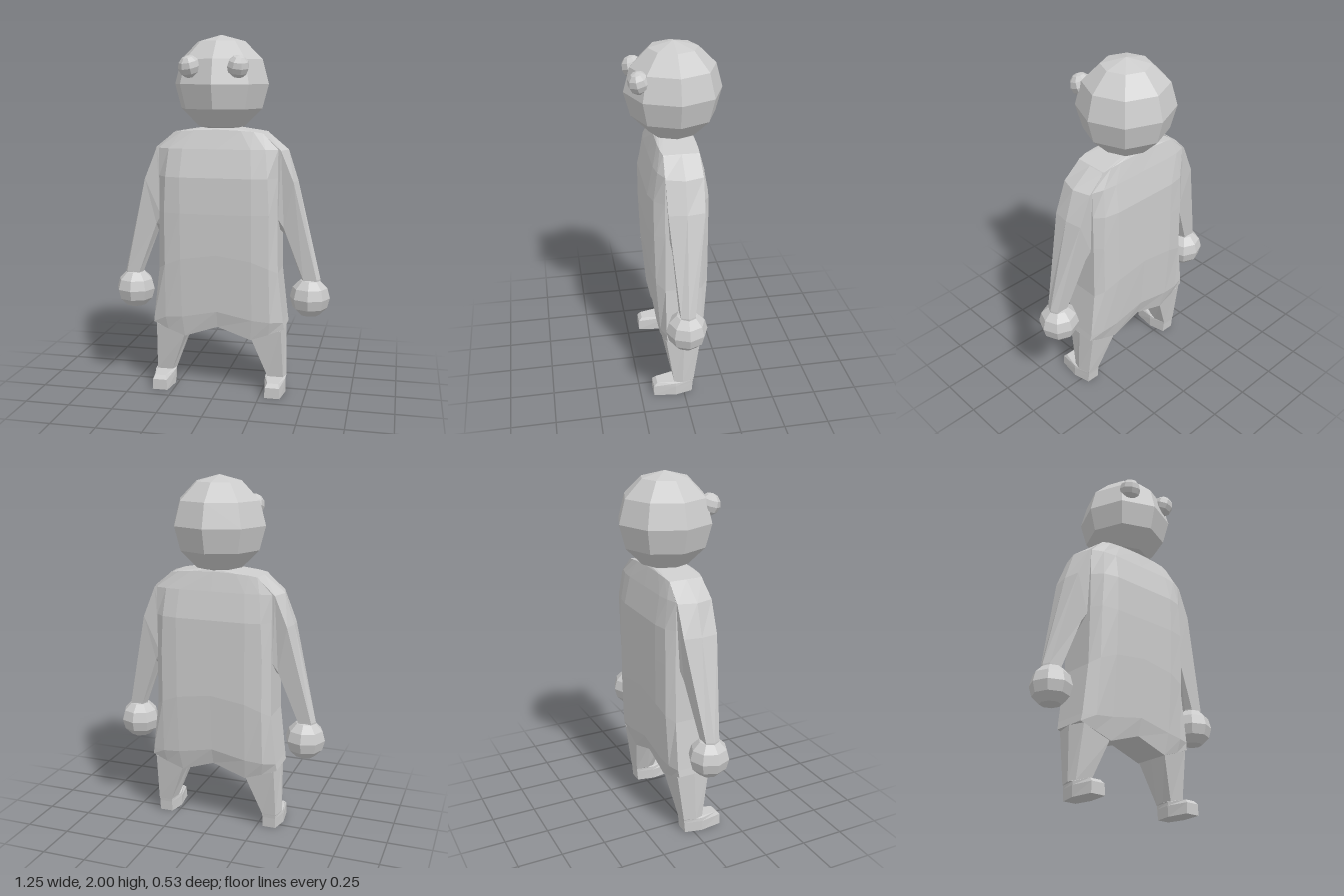
import * as THREE from 'three';

const material = new THREE.MeshStandardMaterial({ color: 0xcccccc, flatShading: true });

function addMesh(group, name, geometry) {
  const mesh = new THREE.Mesh(geometry, material);
  mesh.name = name;
  group.add(mesh);
  return mesh;
}

// Skin over rings stacked from bottom to top, each counter-clockwise seen from above.
function loft(rings) {
  const n = rings[0].length, h = n / 2, out = [];
  const quad = (a, b, c, d) => out.push(...a, ...b, ...c, ...a, ...c, ...d);
  for (let i = 0; i < rings.length - 1; i++) {
    const lo = rings[i], hi = rings[i + 1];
    for (let j = 0; j < n; j++) {
      const k = (j + 1) % n;
      quad(lo[j], lo[k], hi[k], hi[j]);
    }
  }
  // End caps as strips running across the ring
  const top = rings[rings.length - 1], bottom = rings[0];
  const at = (ring, j) => ring[(j + 2 * n) % n];
  const m = (h - 1) / 2;
  for (let j = -m; j < m; j++) {
    quad(at(top, j), at(top, j + 1), at(top, h - j - 1), at(top, h - j));
    quad(at(bottom, h - j), at(bottom, h - j - 1), at(bottom, j + 1), at(bottom, j));
  }
  const geometry = new THREE.BufferGeometry();
  geometry.setAttribute('position', new THREE.Float32BufferAttribute(out, 3));
  geometry.computeVertexNormals();
  return geometry;
}

const mirrored = rings => rings.map(r => r.map(([x, y, z]) => [-x, y, z]).reverse());

// Torso ring: three column positions, heights per column, front and back depth, side depth
function torsoRing([x1, x2, X], ys, zf, zb, zs) {
  const ease = z => z * 0.72 + Math.sign(z) * zs * 0.28;
  const front = [[x1, ys[1], zf], [x2, ys[2], ease(zf)], [X, ys[3], zs]];
  const back = [[X, ys[3], -zs], [x2, ys[2], ease(zb)], [x1, ys[1], zb]];
  const half = [...front, ...back];
  return [[0, ys[0], zf], ...half, [0, ys[0], zb],
    ...half.map(([x, y, z]) => [-x, y, z]).reverse()];
}

// Six-sided arm ring: front inner, front outer and the two middle points, mirrored in z
function armRing(inner, frontInner, frontOuter, outer, z0) {
  const [ix, iy, iz] = frontInner, [ox, oy, oz] = frontOuter;
  return [[ix, iy, z0 + iz], [ox, oy, z0 + oz], [...outer, z0],
    [ox, oy, z0 - oz], [ix, iy, z0 - iz], [...inner, z0]];
}

export function createModel() {
  const model = new THREE.Group();
  model.name = 'figure';

  // Head
  addMesh(model, 'head', new THREE.SphereGeometry(0.265, 8, 6)).position.y = 1.735;

  // Torso, from the arched hem up to the neck
  const level = y => [y, y, y, y];
  addMesh(model, 'torso', loft([
    torsoRing([0.19, 0.29, 0.378], [0.375, 0.31, 0.345, 0.38], 0.11, -0.1, 0.095),
    torsoRing([0.2, 0.3, 0.372], [0.47, 0.43, 0.42, 0.42], 0.135, -0.13, 0.1),
    torsoRing([0.2, 0.295, 0.34], [0.8, 0.77, 0.73, 0.7], 0.165, -0.155, 0.1),
    torsoRing([0.2, 0.295, 0.335], level(1.03), 0.175, -0.155, 0.1),
    torsoRing([0.2, 0.285, 0.335], level(1.23), 0.175, -0.155, 0.1),
    torsoRing([0.19, 0.27, 0.335], level(1.385), 0.142, -0.125, 0.1),
    torsoRing([0.13, 0.2, 0.25], [1.49, 1.485, 1.48, 1.472], 0.11, -0.1, 0.095),
    torsoRing([0.05, 0.08, 0.1], level(1.497), 0.1, -0.095, 0.07),
  ]));

  // Arm, from the wrist up to the shoulder
  const arm = [
    armRing([0.47, 0.6], [0.49, 0.6, 0.035], [0.55, 0.6, 0.035], [0.57, 0.6], 0.012),
    armRing([0.46, 0.66], [0.475, 0.66, 0.04], [0.55, 0.66, 0.04], [0.568, 0.66], 0.012),
    armRing([0.37, 0.9], [0.365, 0.95, 0.065], [0.42, 1.21, 0.097], [0.435, 1.21], 0),
    armRing([0.335, 0.93], [0.335, 1.0, 0.075], [0.35, 1.38, 0.1], [0.38, 1.38], 0),
    armRing([0.28, 0.97], [0.28, 1.05, 0.08], [0.25, 1.47, 0.095], [0.26, 1.474], 0),
  ];

  // Leg and foot, from the sole up to the hip
  const leg = [
    [[0.28, 0, 0.175], [0.368, 0, 0.175], [0.385, 0, 0.05],
      [0.362, 0, -0.048], [0.285, 0, -0.048], [0.264, 0, 0.05]],
    [[0.285, 0.06, 0.175], [0.365, 0.06, 0.175], [0.385, 0.06, 0.05],
      [0.362, 0.06, -0.053], [0.285, 0.06, -0.053], [0.264, 0.06, 0.05]],
    [[0.295, 0.08, 0.155], [0.358, 0.08, 0.155], [0.383, 0.08, 0.05],
      [0.362, 0.08, -0.056], [0.285, 0.08, -0.056], [0.266, 0.08, 0.05]],
    [[0.28, 0.085, 0.057], [0.37, 0.085, 0.057], [0.384, 0.085, 0.01],
      [0.364, 0.085, -0.057], [0.283, 0.085, -0.057], [0.266, 0.085, 0.01]],
    [[0.195, 0.312, 0.105], [0.36, 0.372, 0.1], [0.378, 0.385, 0],
      [0.36, 0.372, -0.097], [0.195, 0.312, -0.097], [0.19, 0.312, 0]],
  ];

  for (const side of [1, -1]) {
    const label = side > 0 ? 'left' : 'right';
    const sided = rings => (side > 0 ? rings : mirrored(rings));
    addMesh(model, label + 'Arm', loft(sided(arm)));
    addMesh(model, label + 'Leg', loft(sided(leg)));

    // Ball hand
    addMesh(model, label + 'Hand', new THREE.SphereGeometry(0.113, 8, 6))
      .position.set(side * 0.51, 0.553, 0.013);

    // Bulging eye
    const eye = addMesh(model, label + 'Eye', new THREE.SphereGeometry(0.061, 8, 6));
    eye.position.set(side * 0.132, 1.827, 0.197);
    eye.rotation.set(0.3, side * 0.5, 0, 'YXZ');
  }
  return model;
}
